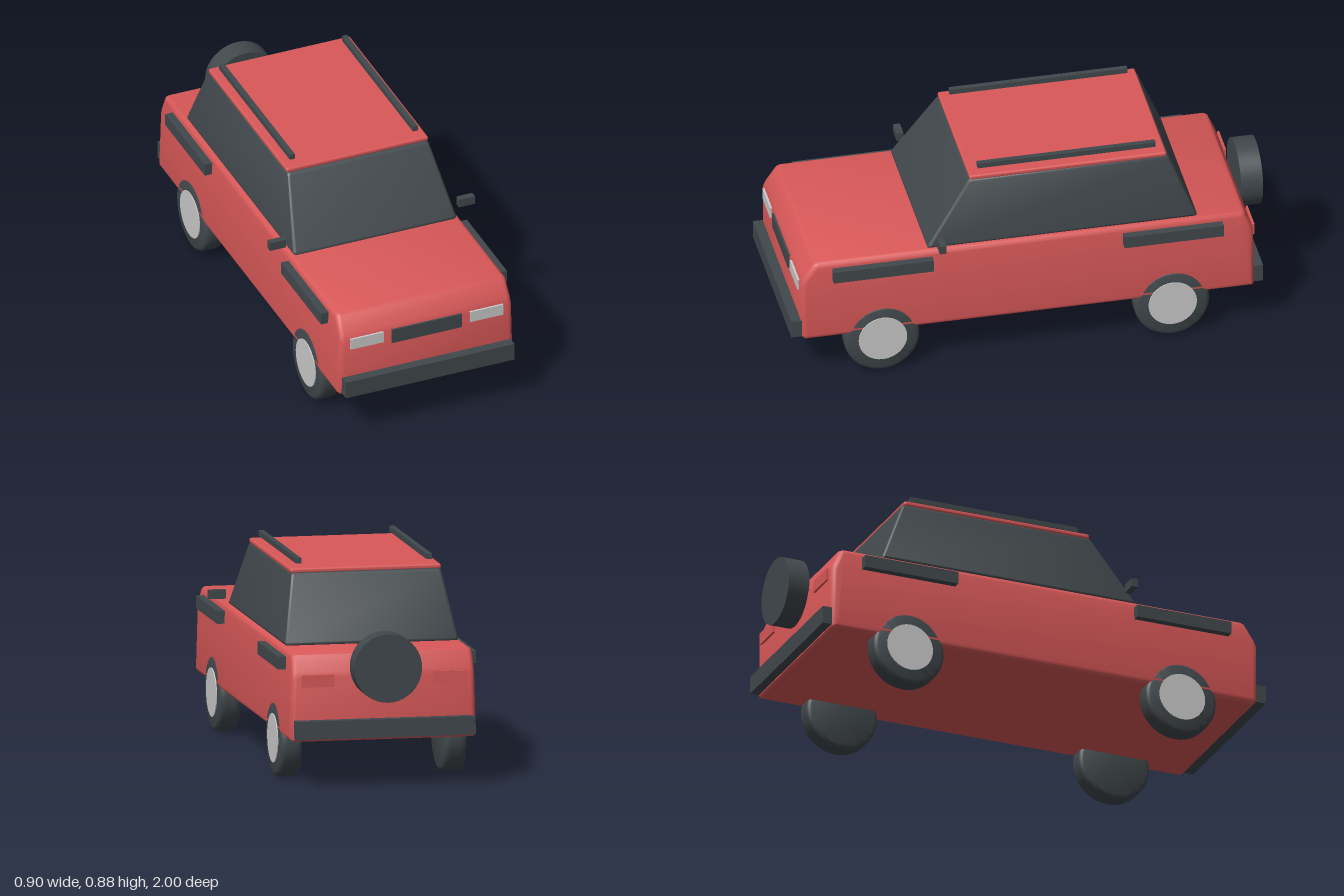
import * as THREE from 'three';
import { toCreasedNormals } from 'three/addons/utils/BufferGeometryUtils.js';
import { RoundedBoxGeometry } from 'three/addons/geometries/RoundedBoxGeometry.js';

const material = (name, color) => {
  const m = new THREE.MeshStandardMaterial({ color });
  m.name = name;
  return m;
};

// Move each vertex by a rule, then smooth all but the sharp edges
function reshape(geometry, rule) {
  const p = geometry.attributes.position;
  const v = new THREE.Vector3();
  for (let i = 0; i < p.count; i++) {
    rule(v.fromBufferAttribute(p, i));
    p.setXYZ(i, v.x, v.y, v.z);
  }
  return toCreasedNormals(geometry, 0.6);
}

export function createModel() {
  const car = new THREE.Group();
  car.name = 'car';
  const red = material('red paint', 0xd95858);
  const dark = material('dark trim', 0x41484c);
  const pale = material('pale grey', 0xcacaca);

  const add = (name, geometry, mat, x = 0, y = 0, z = 0) => {
    const mesh = new THREE.Mesh(geometry, mat);
    mesh.name = name;
    mesh.position.set(x, y, z);
    car.add(mesh);
    return mesh;
  };
  // Box given by its extents on each axis
  const box = (name, mat, [x0, x1], [y0, y1], [z0, z1]) =>
    add(name, new THREE.BoxGeometry(x1 - x0, y1 - y0, z1 - z0), mat,
      (x0 + x1) / 2, (y0 + y1) / 2, (z0 + z1) / 2);

  // Body: side profile extruded across the width, narrowing upwards
  const profile = new THREE.Shape([
    [-0.905, 0.192], [0.945, 0.192], [0.958, 0.206], [0.962, 0.45], [0.95, 0.478],
    [0.907, 0.543], [0.89, 0.55], [-0.86, 0.55], [-0.875, 0.542], [-0.905, 0.475],
    [-0.912, 0.45], [-0.912, 0.2],
  ].map(([z, y]) => new THREE.Vector2(z, y)));
  const bevel = 0.022;
  const bodyGeometry = new THREE.ExtrudeGeometry(profile, {
    depth: 0.772 - 2 * bevel, bevelEnabled: true, bevelSize: bevel,
    bevelThickness: bevel, bevelOffset: -bevel, bevelSegments: 3,
  });
  bodyGeometry.translate(0, 0, bevel - 0.386);
  bodyGeometry.rotateY(-Math.PI / 2);
  add('body', reshape(bodyGeometry, (v) => {
    v.x *= 1 - 0.03 * (v.y - 0.19) / 0.36;
  }), red);

  // Glass cabin: rounded box tapered towards the roof
  const cabin = new RoundedBoxGeometry(0.72, 0.282, 1.125, 3, 0.014);
  add('cabinGlass', reshape(cabin, (v) => {
    const t = (v.y + 0.141) / 0.282;
    v.x *= 1 - t * 0.14;
    v.z = v.z * (1 - t * 0.268) - 0.1225 - t * 0.0375;
  }), dark, 0, 0.689, 0);
  add('roof', new RoundedBoxGeometry(0.622, 0.021, 0.815, 3, 0.008), red, 0, 0.836, -0.1575);

  // Bumpers and grille
  box('frontBumper', dark, [-0.37, 0.37], [0.205, 0.28], [0.94, 1]);
  box('rearBumper', dark, [-0.37, 0.37], [0.205, 0.28], [-0.95, -0.89]);
  box('grille', dark, [-0.154, 0.154], [0.397, 0.459], [0.959, 0.968]);

  // Spare wheel on the tail
  const spare = new THREE.CylinderGeometry(0.14, 0.14, 0.09, 40).rotateX(Math.PI / 2);
  add('spareWheel', spare, dark, 0, 0.495, -0.955);

  // Wheel shapes, turned on the x axis
  const tyre = toCreasedNormals(new THREE.LatheGeometry([
    [0, -0.045], [0.138, -0.045], [0.148, -0.041], [0.154, -0.03], [0.155, -0.018],
    [0.155, 0.018], [0.154, 0.03], [0.148, 0.041], [0.138, 0.045], [0, 0.045],
  ].map(([r, h]) => new THREE.Vector2(r, h)), 40), 0.7).rotateZ(-Math.PI / 2);
  const hub = new THREE.CylinderGeometry(0.1, 0.1, 0.03, 32).rotateZ(Math.PI / 2);

  for (const [side, s] of [['left', 1], ['right', -1]]) {
    const span = (a, b) => (s > 0 ? [a, b] : [-b, -a]);
    box(side + 'RoofRail', dark, span(0.259, 0.281), [0.86, 0.882], [-0.525, 0.21]);
    box(side + 'Mirror', dark, span(0.38, 0.45), [0.579, 0.615], [0.375, 0.403]);
    box(side + 'FrontTrim', dark, span(0.365, 0.408), [0.47, 0.522], [0.418, 0.832]);
    box(side + 'RearTrim', dark, span(0.365, 0.408), [0.47, 0.522], [-0.78, -0.37]);
    box(side + 'Headlight', pale, span(0.19, 0.335), [0.411, 0.459], [0.959, 0.968]);
    box(side + 'TailLight', red, span(0.205, 0.34), [0.415, 0.465], [-0.921, -0.912]);
    for (const [end, z] of [['Front', 0.625], ['Rear', -0.573]]) {
      add(side + end + 'Tyre', tyre, dark, s * 0.34, 0.156, z);
      add(side + end + 'Hub', hub, pale, s * 0.374, 0.158, z);
    }
  }
  return car;
}
